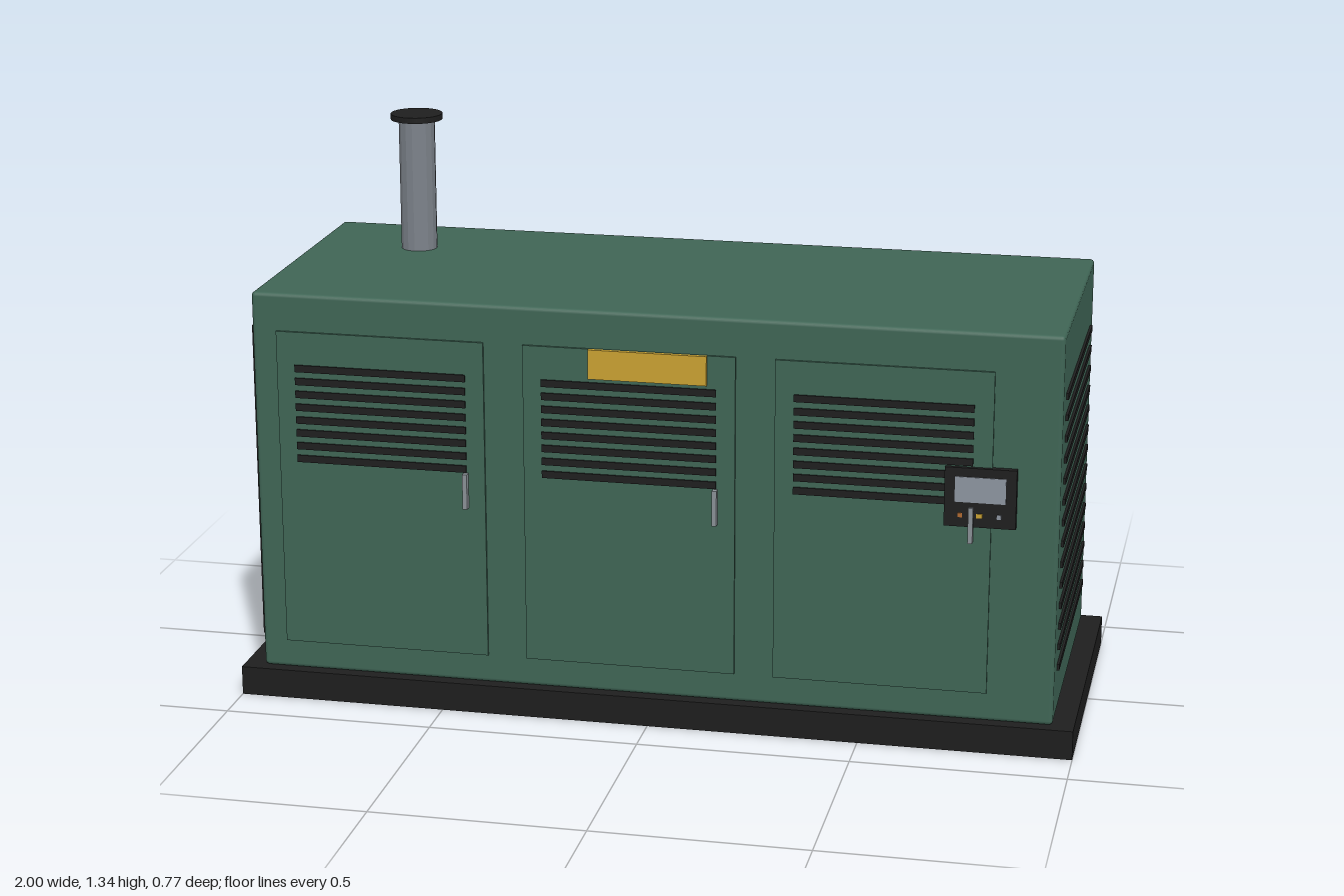
import * as THREE from 'three';
import { RoundedBoxGeometry } from 'three/addons/geometries/RoundedBoxGeometry.js';

const mat = (name, color, flatShading = false) => {
  const m = new THREE.MeshStandardMaterial({ color, flatShading });
  m.name = name;
  return m;
};

export function createModel() {
  const green = mat('green paint', 0x3f6555);
  const black = mat('black', 0x1e1e1e);
  const steel = mat('steel', 0x7c828a, true);
  const handleGrey = mat('handle grey', 0x8a9096);
  const yellow = mat('sign yellow', 0xc9a132);
  const screenGrey = mat('screen grey', 0x8d95a0);
  const orange = mat('button orange', 0xb06a30);

  const root = new THREE.Group();
  root.name = 'generator';

  const add = (parent, name, geometry, material, x, y, z) => {
    const mesh = new THREE.Mesh(geometry, material);
    mesh.name = name;
    mesh.position.set(x, y, z);
    parent.add(mesh);
    return mesh;
  };
  // Box given by its low and high limits on each axis
  const box = (parent, name, material, [x0, x1], [y0, y1], [z0, z1]) =>
    add(parent, name, new THREE.BoxGeometry(x1 - x0, y1 - y0, z1 - z0), material,
      (x0 + x1) / 2, (y0 + y1) / 2, (z0 + z1) / 2);

  // Skid base and enclosure
  box(root, 'base', black, [-1, 1], [0, 0.07], [-0.387, 0.387]);
  add(root, 'enclosure', new RoundedBoxGeometry(1.9, 0.93, 0.724, 2, 0.01), green, 0, 0.535, 0);

  // Three louvred doors on each long side
  for (const side of [1, -1]) {
    const out = (near, far) => (side > 0 ? [near, far] : [-far, -near]);
    for (const x of [-0.64, -0.046, 0.546]) {
      const door = new THREE.Group();
      door.name = side > 0 ? 'frontDoor' : 'backDoor';
      root.add(door);
      box(door, 'doorPanel', green, [x - 0.25, x + 0.25], [0.14, 0.91], out(0.355, 0.368));
      for (let i = 0; i < 8; i++) {
        const y = 0.602 + i * 0.0315;
        box(door, 'doorLouvre', black, [x - 0.206, x + 0.206], [y - 0.0085, y + 0.0085], out(0.36, 0.372));
      }
      box(door, 'handle', handleGrey, [x + 0.199, x + 0.21], [0.507, 0.592], out(0.36, 0.384));
    }
  }

  // Intake louvres on the left end, radiator panel on the other
  for (let i = 0; i < 14; i++) {
    const y = 0.19 + i * 0.0502;
    box(root, 'endLouvre', black, [0.94, 0.956], [y - 0.0075, y + 0.0075], [-0.297, 0.297]);
  }
  box(root, 'radiatorPanel', black, [-0.961, -0.94], [0.14, 0.91], [-0.33, 0.33]);

  // Warning sign
  box(root, 'sign', yellow, [-0.14, 0.138], [0.84, 0.91], [0.366, 0.375]);

  // Control panel with screen and buttons
  const panel = new THREE.Group();
  panel.name = 'controlPanel';
  root.add(panel);
  box(panel, 'panelBody', black, [0.689, 0.853], [0.545, 0.685], [0.362, 0.378]);
  box(panel, 'screen', screenGrey, [0.713, 0.829], [0.604, 0.664], [0.376, 0.38]);
  [[0.726, orange], [0.77, yellow], [0.815, screenGrey]].forEach(([x, material], i) => {
    const r = i === 1 ? 0.007 : 0.005;
    box(panel, 'button', material, [x - r, x + r], [0.573 - 0.005, 0.573 + 0.005], [0.376, 0.381]);
  });

  // Exhaust stack and cap
  add(root, 'exhaustStack', new THREE.CylinderGeometry(0.044, 0.044, 0.33, 16), steel, -0.685, 1.16, -0.137);
  add(root, 'exhaustCap', new THREE.CylinderGeometry(0.063, 0.063, 0.014, 24), black, -0.685, 1.328, -0.137);

  return root;
}
